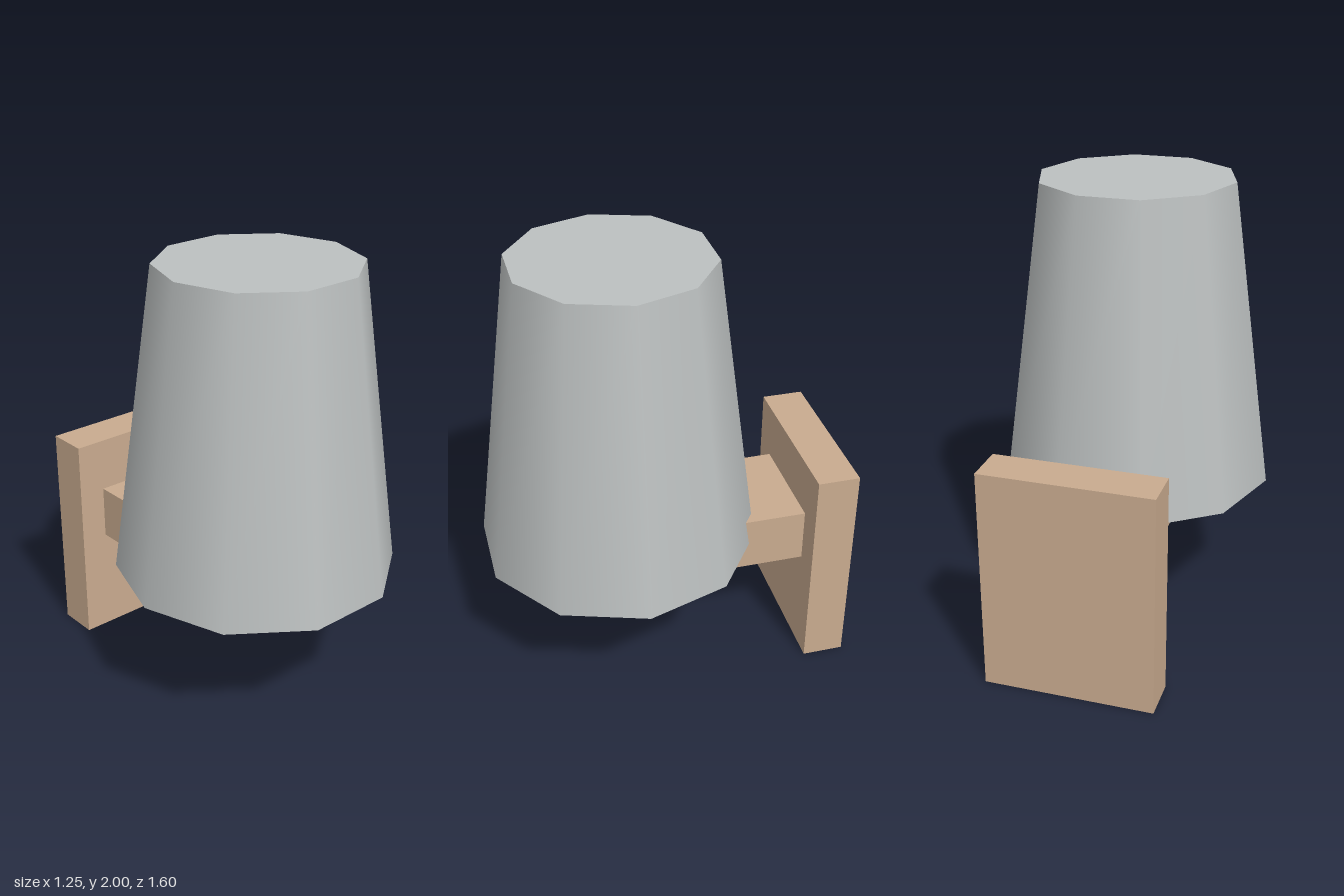
import * as THREE from 'three';

// Wall lamp: back plate, bracket arm and a ten-sided tapered shade.
export function createModel() {
  const group = new THREE.Group();
  group.name = 'wallLamp';

  const wood = new THREE.MeshStandardMaterial({ color: 0xc9ab8f });
  wood.name = 'tan wood';
  const grey = new THREE.MeshStandardMaterial({ color: 0xbcc0c0 });
  grey.name = 'light grey';

  const add = (name, geometry, material, x, y, z) => {
    const mesh = new THREE.Mesh(geometry, material);
    mesh.name = name;
    mesh.position.set(x, y, z);
    group.add(mesh);
  };

  // Plate against the wall
  add('wallPlate', new THREE.BoxGeometry(0.75, 1, 0.19), wood, 0, 0.5, -0.705);

  // Arm reaching forward under the shade
  add('arm', new THREE.BoxGeometry(0.495, 0.25, 0.69), wood, 0, 0.625, -0.265);

  // Closed shade with smooth sides and corners on the x axis
  const shade = new THREE.CylinderGeometry(0.437, 0.624, 1.372, 10, 1, false, Math.PI / 2);
  add('shade', shade, grey, 0, 1.314, 0.205);

  return group;
}
